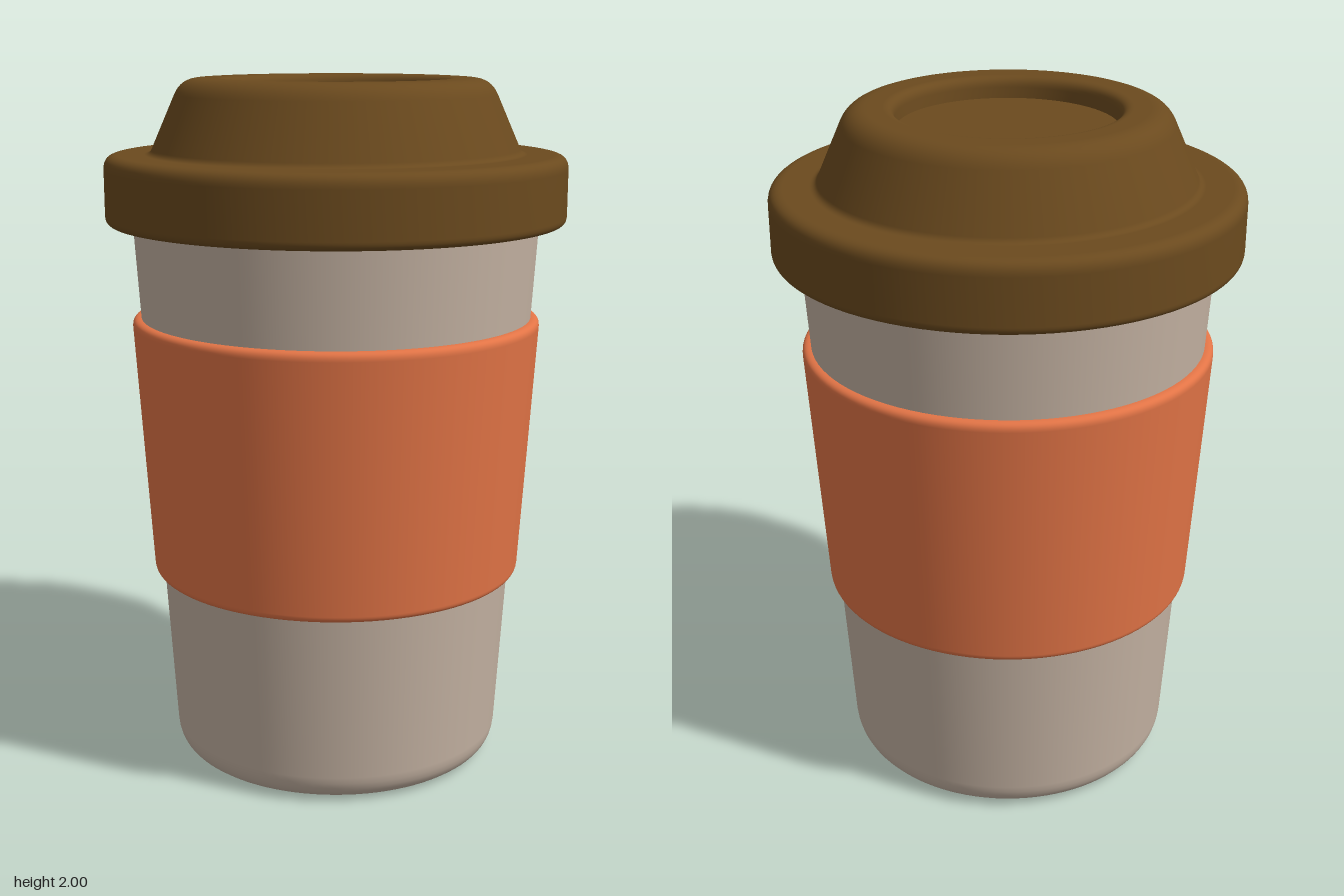
import * as THREE from 'three';

const SEGMENTS = 96;

// Profile from [radius, height, fillet] corners, each fillet drawn as a short curve
function roundedProfile(corners) {
  const pts = [];
  corners.forEach(([r, y, fillet = 0], i) => {
    const p = new THREE.Vector2(r, y);
    if (!fillet) {
      pts.push(p);
      return;
    }
    const toward = (c) => {
      const d = new THREE.Vector2(c[0], c[1]).sub(p).normalize();
      return p.clone().addScaledVector(d, fillet);
    };
    const curve = new THREE.QuadraticBezierCurve(toward(corners[i - 1]), p, toward(corners[i + 1]));
    pts.push(...curve.getPoints(8));
  });
  return pts;
}

function part(name, geometry, color) {
  const material = new THREE.MeshStandardMaterial({ color, side: THREE.DoubleSide });
  const mesh = new THREE.Mesh(geometry, material);
  mesh.name = name;
  return mesh;
}

const turned = (name, corners, color) =>
  part(name, new THREE.LatheGeometry(roundedProfile(corners), SEGMENTS), color);

// Curved drinking slot: an arc of constant width with round ends
function slotPath(radius, halfWidth, start, end) {
  const path = new THREE.Path();
  const at = (a) => [radius * Math.cos(a), radius * Math.sin(a)];
  path.absarc(0, 0, radius + halfWidth, start, end, false);
  path.absarc(...at(end), halfWidth, end, end + Math.PI, false);
  path.absarc(0, 0, radius - halfWidth, end, start, true);
  path.absarc(...at(start), halfWidth, start + Math.PI, start + Math.PI * 2, false);
  path.closePath();
  return path;
}

export function createModel() {
  const model = new THREE.Group();
  model.name = 'travelCup';
  const cupColor = 0xc4b2a2, sleeveColor = 0xe27446, lidColor = 0x6b4a1e;

  // Hollow tapered cup: outside going up, then inside coming down
  model.add(turned('cup', [
    [0, 0], [0.40, 0], [0.482, 0, 0.08], [0.583, 1.6], [0.592, 1.76],
    [0.555, 1.76], [0.545, 1.6], [0.45, 0.05, 0.06], [0, 0.05],
  ], cupColor));

  // Grip sleeve wrapped around the cup
  model.add(turned('sleeve', [
    [0.51, 0.565], [0.544, 0.565, 0.02], [0.592, 1.325, 0.025], [0.555, 1.325],
  ], sleeveColor));

  const lid = new THREE.Group();
  lid.name = 'lid';

  // Lid shell: underside outwards, up the flange, over the dome and into the recess
  const floorRadius = 0.305, floorTop = 1.94, floorBottom = 1.9;
  lid.add(turned('lidShell', [
    [floorRadius, floorBottom], [0.42, floorBottom, 0.02], [0.49, 1.76], [0.592, 1.76], [0.585, 1.595],
    [0.66, 1.595, 0.025], [0.66, 1.79, 0.04], [0.53, 1.79, 0.015],
    [0.437, 2, 0.05], [0.31, 2, 0.03], [floorRadius, floorTop],
  ], lidColor));

  // Recessed lid floor pierced by the drinking slot
  const disc = new THREE.Shape();
  disc.absarc(0, 0, floorRadius, 0, Math.PI * 2, false);
  const deg = Math.PI / 180;
  disc.holes.push(slotPath(0.2, 0.033, 11 * deg, 61 * deg));
  const floor = new THREE.ExtrudeGeometry(disc, {
    depth: floorTop - floorBottom, bevelEnabled: false, curveSegments: 48,
  });
  floor.rotateX(-Math.PI / 2).translate(0, floorBottom, 0);
  lid.add(part('lidFloor', floor, lidColor));

  model.add(lid);
  return model;
}
